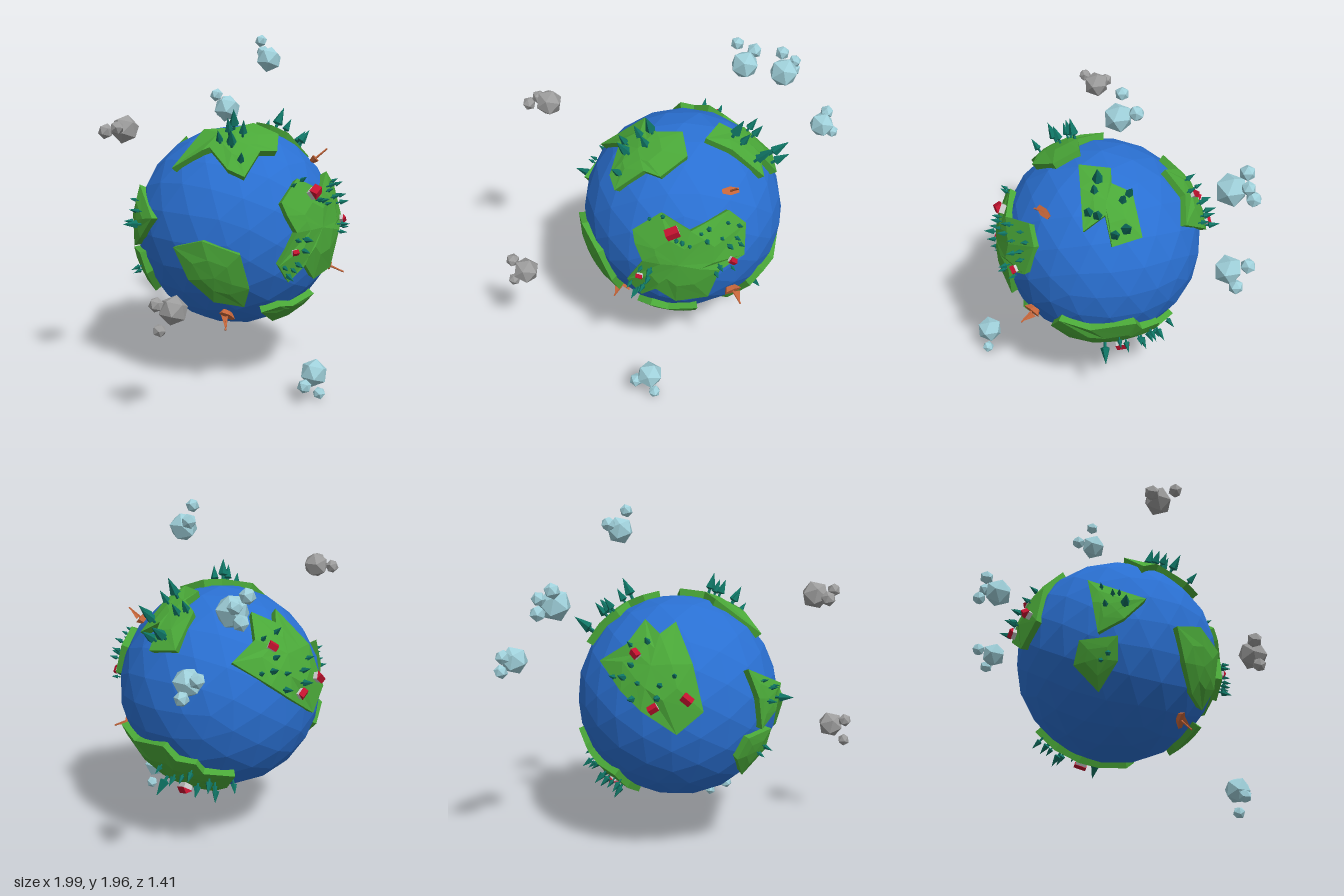
import * as THREE from 'three';

const PLATE = 0.615, SEA = 0.58;
const CENTRE = new THREE.Vector3(0.035, 0.875, -0.04);
const mat = (color, side = THREE.FrontSide) => {
  const m = new THREE.MeshStandardMaterial({ color, side });
  m.flatShading = true;
  return m;
};
const blue = mat(0x2a70d2), green = mat(0x4aa838), teal = mat(0x0f7464), red = mat(0xc4122f),
  white = mat(0xdddddd), wood = mat(0xc4653a, THREE.DoubleSide), sky = mat(0x9fd0da), grey = mat(0x9c9c9c);

// Directions of sight as [azimuth, elevation] in degrees, used to lay parts on the globe
const FRONT = [0, 0], RIGHT = [90, 0], BACK = [180, 0], LEFT = [270, 0], TOP = [0, 90],
  BACK_LEFT = [215, 25], BACK_RIGHT = [145, -25];

// Unit direction of the globe point at offset (u, v) as faced from a direction
function dirAt([az, el], u, v) {
  const a = THREE.MathUtils.degToRad(az), e = THREE.MathUtils.degToRad(el);
  const right = new THREE.Vector3(Math.cos(a), 0, -Math.sin(a));
  const up = new THREE.Vector3(-Math.sin(a) * Math.sin(e), Math.cos(e), -Math.cos(a) * Math.sin(e));
  const fwd = right.clone().cross(up);
  const w = Math.sqrt(Math.max(0, PLATE * PLATE - u * u - v * v));
  return right.multiplyScalar(u).addScaledVector(up, v).addScaledVector(fwd, w).normalize();
}

// Raised land: centre, middle ring and outline on top, then a wall into the sea
function landGeometry(view, outline) {
  const pts = THREE.ShapeUtils.area(outline.map(([x, y]) => new THREE.Vector2(x, y))) < 0
    ? [...outline].reverse() : outline;
  const rim = pts.map(([u, v]) => dirAt(view, u, v));
  const mid = rim.reduce((s, d) => s.add(d), new THREE.Vector3()).normalize();
  const ring = rim.map(d => d.clone().lerp(mid, 0.5).normalize());
  const pos = [];
  const tri = (...vs) => vs.forEach(v => pos.push(v.x, v.y, v.z));
  const at = (d, r) => d.clone().multiplyScalar(r);
  for (let i = 0; i < rim.length; i++) {
    const j = (i + 1) % rim.length;
    const [a, b, c, d] = [at(rim[i], PLATE), at(rim[j], PLATE), at(ring[i], PLATE), at(ring[j], PLATE)];
    const [e, f] = [at(rim[i], 0.54), at(rim[j], 0.54)];
    tri(at(mid, PLATE), c, d);
    tri(c, a, b); tri(c, b, d);
    tri(e, f, b); tri(e, b, a);
  }
  const g = new THREE.BufferGeometry();
  g.setAttribute('position', new THREE.Float32BufferAttribute(pos, 3));
  g.computeVertexNormals();
  return g;
}

// Stand an object on the globe, its y axis pointing outward
function stand(parent, obj, dir, r, turn = 0, size = 1) {
  obj.position.copy(dir).multiplyScalar(r);
  obj.quaternion.setFromUnitVectors(new THREE.Vector3(0, 1, 0), dir);
  obj.rotateY(turn);
  obj.scale.setScalar(size);
  parent.add(obj);
}

function part(name, geometry, material) {
  const m = new THREE.Mesh(geometry, material);
  m.name = name;
  return m;
}

// Trunk and pointed crown, unit height
const treeGeo = new THREE.LatheGeometry(
  [[0.07, -0.1], [0.07, 0.2], [0.23, 0.27], [0.13, 0.6], [0, 1]].map(p => new THREE.Vector2(...p)), 5);

const roofGeo = new THREE.ExtrudeGeometry(
  new THREE.Shape([[-0.6, 0], [0.6, 0], [0, 0.5]].map(p => new THREE.Vector2(...p))),
  { depth: 1.3, bevelEnabled: false }).translate(0, 0.5, -0.65);
const wallGeo = new THREE.BoxGeometry(0.9, 0.6, 1.15).translate(0, 0.2, 0);

function house() {
  const g = new THREE.Group();
  g.name = 'house';
  g.add(part('walls', wallGeo, white), part('roof', roofGeo, red));
  return g;
}

function boat() {
  const g = new THREE.Group();
  g.name = 'boat';
  const hull = new THREE.CylinderGeometry(1, 0.55, 0.035, 6).scale(0.06, 1, 0.024).translate(0, 0.012, 0);
  const mast = new THREE.CylinderGeometry(0.005, 0.007, 0.11, 5).translate(0, 0.06, 0);
  const sail = new THREE.ShapeGeometry(new THREE.Shape(
    [[0, 0.035], [0.045, 0.04], [0, 0.11]].map(p => new THREE.Vector2(...p))));
  g.add(part('hull', hull, wood), part('mast', mast, wood), part('sail', sail, wood));
  return g;
}

const LANDS = {
  frontLand: [FRONT, [[-.275, .225], [-.125, .335], [.035, .255], [.24, .325], [.335, .235], [.33, .06], [.195, .005],
    [.135, -.205], [-.045, -.235], [-.155, -.13], [-.235, -.22], [-.315, -.115], [-.225, .06], [-.265, .155]]],
  topRightLand: [TOP, [[-.475, .09], [-.215, .07], [-.15, -.1], [-.005, -.125], [.02, -.28], [-.125, -.37],
    [-.215, -.32], [-.375, -.33], [-.405, -.24], [-.355, -.08]]],
  topLeftLand: [TOP, [[.12, -.16], [.2, 0], [.29, -.02], [.345, .08], [.515, .09], [.53, -.08], [.425, -.09],
    [.445, -.215], [.265, -.185]]],
  backLand: [BACK, [[.17, .06], [.03, -.06], [-.16, .06], [-.27, .15], [-.4, .28], [-.25, .38], [-.156, .5],
    [-.07, .44], [.012, .495], [.11, .3]]],
  lowerLeftLand: [RIGHT, [[-.39, -.28], [-.36, -.19], [-.2, -.235], [.05, -.2], [.1, -.285], [.21, -.29], [.22, -.36],
    [.35, -.38], [.25, -.49], [.12, -.56], [-.02, -.56], [-.18, -.55], [-.26, -.49]]],
  rightLand: [LEFT, [[.03, -.02], [.2, .03], [.38, -.04], [.39, -.24], [.33, -.36], [.2, -.33], [.1, -.2]]],
  backRightLand: [BACK_LEFT, [[.1, -.01], [.4, -.09], [.31, -.24], [.18, -.33], [.15, -.17]]],
  lowerBackLand: [BACK_LEFT, [[.03, -.46], [.08, -.365], [.275, -.33], [.26, -.43], [.13, -.54]]],
  lowerFrontLand: [FRONT, [[-.27, -.41], [-.19, -.38], [-.09, -.4], [.08, -.36], [.07, -.43], [.02, -.5], [-.1, -.51]]],
};

// Woods: view, tree height, places
const WOODS = [
  [FRONT, 0.06, [[-.18, .3], [-.11, .32], [-.01, .2], [.03, .18], [-.04, .21], [.12, .2], [.23, .27], [.29, .24],
    [.13, .26], [.2, .2], [.28, .18], [.24, .15], [.09, .24], [.3, .14], [.19, .04], [.26, .01], [.17, .0]]],
  [FRONT, 0.07, [[-.23, .02], [-.19, -.04], [-.18, .02], [-.29, -.12], [-.22, -.11], [-.26, -.17], [-.24, -.14]]],
  [TOP, 0.11, [[-.31, -.12], [-.2, -.19], [-.3, -.19], [-.34, -.28], [-.23, -.12], [-.17, -.11]]],
  [TOP, 0.12, [[.385, .01], [.42, -.13], [.49, 0], [.315, -.12], [.395, -.17], [.27, -.09], [.36, .05], [.5, -.06]]],
  [BACK_LEFT, 0.075, [[-.43, .24], [-.365, .23], [-.5, .08], [-.46, .03], [-.38, -.01], [-.49, -.04], [-.31, .02],
    [-.46, .13], [-.4, -.07], [-.53, .1]]],
  [BACK_RIGHT, 0.08, [[-.33, -.2], [-.3, -.14], [-.2, -.19], [-.16, -.24], [-.07, -.2], [-.24, -.27], [-.43, -.2],
    [-.36, -.25], [-.14, -.3]]],
  [BACK_RIGHT, 0.15, [[-.37, -.35]]],
  [BACK_LEFT, 0.06, [[.19, -.08], [.25, -.12], [.22, -.19], [.28, -.11], [.18, -.44], [.22, -.41]]],
  [BACK_LEFT, 0.13, [[.31, -.17]]],
];

// Houses: view, u, v, size, turn
const HOUSES = [
  [FRONT, -.06, .25, .055, 1.9], [FRONT, .26, .055, .033, 1.3], [FRONT, -.24, -.045, .028, 1.2],
  [BACK_LEFT, -.43, .185, .04, .5], [BACK_LEFT, -.275, -.11, .045, 1], [BACK_LEFT, -.42, -.115, .04, 2],
  [BACK_RIGHT, -.28, -.35, .055, .6],
];

// Boats: direction, turn
const BOATS = [[dirAt(FRONT, .255, .4), .3], [dirAt(FRONT, .285, -.245), .4],
  [new THREE.Vector3(-.34, -.41, .19).normalize(), 1.2]];

// Clouds: material, then puffs as x, y, z, radius
const CLOUDS = [
  [sky, [.36, 1.82, -.04, .078], [.32, 1.93, -.07, .037], [.415, 1.86, -.12, .042]],
  [sky, [.64, 1.48, -.565, .09], [.635, 1.565, -.65, .044], [.71, 1.45, -.665, .044], [.71, 1.52, -.63, .04]],
  [sky, [.885, 1.165, -.48, .078], [.955, 1.105, -.5, .04], [.925, 1.2, -.57, .042]],
  [sky, [-.16, .16, .63, .078], [-.24, .105, .62, .04], [-.135, .04, .65, .036]],
  [grey, [-.725, 1.49, -.205, .078], [-.79, 1.48, -.28, .042], [-.83, 1.51, -.16, .038]],
  [grey, [-.88, .625, .245, .078], [-.96, .665, .2, .04], [-.96, .535, .22, .036]],
];

export function createModel() {
  const model = new THREE.Group();
  const world = new THREE.Group();
  world.name = 'world';
  world.position.copy(CENTRE);
  model.add(world);

  world.add(part('ocean', new THREE.IcosahedronGeometry(SEA, 3), blue));
  for (const [name, [view, outline]] of Object.entries(LANDS))
    world.add(part(name, landGeometry(view, outline), green));

  for (const [view, height, places] of WOODS)
    places.forEach(([u, v], i) => stand(world, part('tree', treeGeo, teal), dirAt(view, u, v), 0.61, i * 1.7,
      height * (0.85 + 0.15 * (i % 3))));
  for (const [view, u, v, size, turn] of HOUSES) stand(world, house(), dirAt(view, u, v), 0.612, turn, size);
  for (const [dir, turn] of BOATS) stand(world, boat(), dir, SEA - 0.005, turn);

  for (const [material, ...puffs] of CLOUDS) {
    const cloud = new THREE.Group();
    cloud.name = 'cloud';
    puffs.forEach(([x, y, z, r], i) => {
      const puff = part('puff', new THREE.IcosahedronGeometry(r, 0), material);
      puff.position.set(x, y, z);
      puff.rotation.set(0.4 * i, 0.9 * i, 0.2);
      cloud.add(puff);
    });
    model.add(cloud);
  }
  return model;
}
